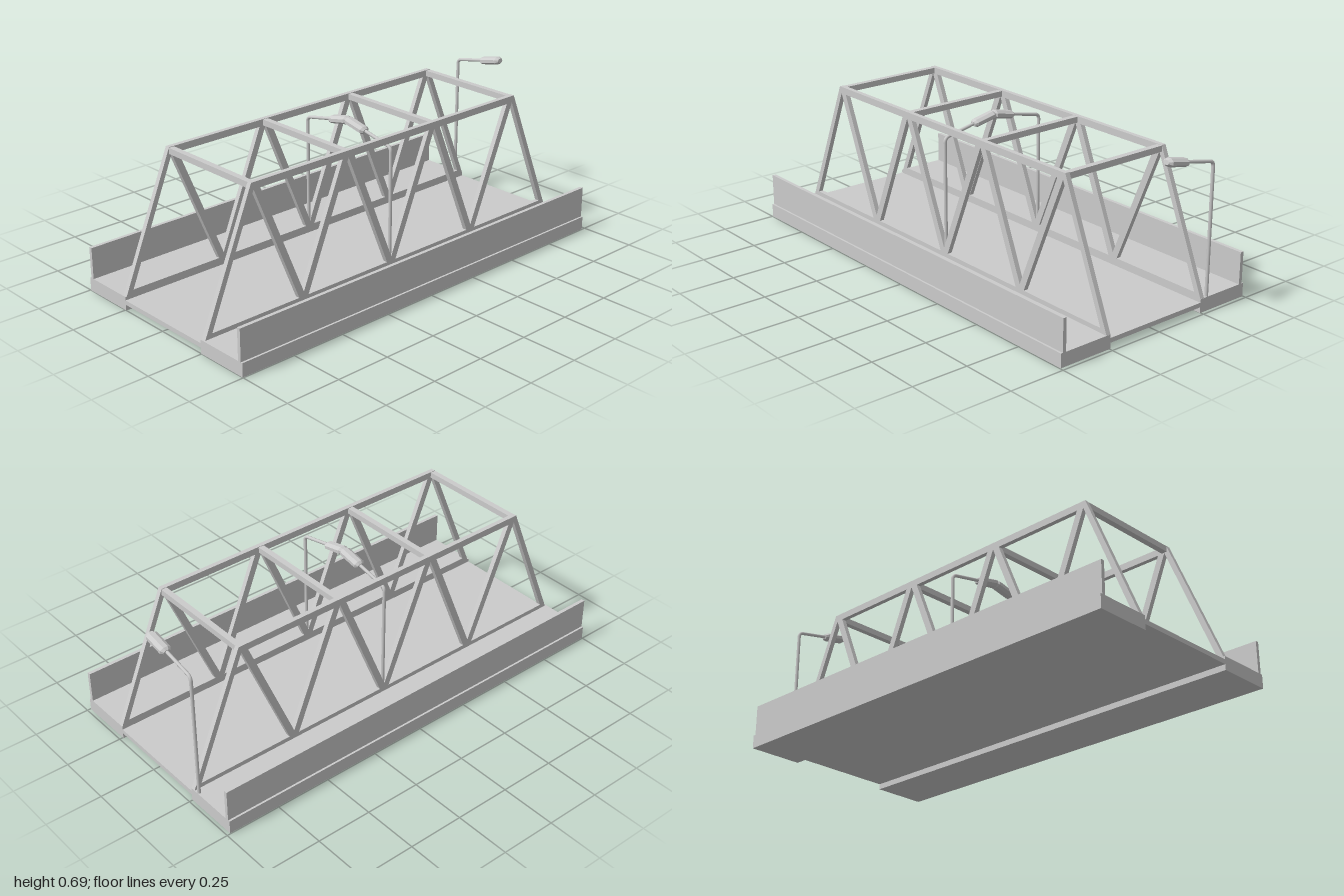
import * as THREE from 'three';

const MAT = new THREE.MeshStandardMaterial({ color: 0xcccccc, flatShading: true });
const SMOOTH = new THREE.MeshStandardMaterial({ color: 0xcccccc });
const ZC = 0.008;   // centre of the deck along z
const TZ = 0.005;   // centre of the trusses along z
const LENGTH = 1.984;
const BAY = 0.489;  // spacing of the truss nodes

function add(parent, name, geometry, x = 0, y = 0, z = 0, material = MAT) {
  const mesh = new THREE.Mesh(geometry, material);
  mesh.name = name;
  mesh.position.set(x, y, z);
  parent.add(mesh);
  return mesh;
}

// box given by its x and y limits, centred on z
function slab(parent, name, x0, x1, y0, y1, depth, z) {
  return add(parent, name, new THREE.BoxGeometry(x1 - x0, y1 - y0, depth), (x0 + x1) / 2, (y0 + y1) / 2, z);
}

const polygon = (points) => points.map(([x, y]) => new THREE.Vector2(x, y));

// trapezoid side frame with triangular openings between chords and diagonals
function trussGeometry() {
  const shape = new THREE.Shape(polygon([[-0.988, 0.06], [0.988, 0.06], [0.745, 0.64], [-0.745, 0.64]]));
  for (let i = 0; i < 4; i++) {
    const c = (i - 1.5) * BAY;
    shape.holes.push(new THREE.Path(polygon([[c - 0.22, 0.08], [c, 0.61], [c + 0.22, 0.08]])));
  }
  for (let i = -1; i <= 1; i++) {
    const c = i * BAY;
    shape.holes.push(new THREE.Path(polygon([[c, 0.1], [c - 0.212, 0.61], [c + 0.212, 0.61]])));
  }
  const g = new THREE.ExtrudeGeometry(shape, { depth: 0.021, bevelEnabled: false });
  g.translate(0, 0, -0.0105);
  g.rotateY(-Math.PI / 2);
  return g;
}

// street lamp: foot at the origin, arm reaching towards +x
function streetLamp(name) {
  const lamp = new THREE.Group();
  lamp.name = name;
  const path = new THREE.CurvePath();
  const p = (x, y) => new THREE.Vector3(x, y, 0);
  path.add(new THREE.LineCurve3(p(0, 0), p(0, 0.548)));
  path.add(new THREE.QuadraticBezierCurve3(p(0, 0.548), p(0, 0.567), p(0.02, 0.571)));
  path.add(new THREE.LineCurve3(p(0.02, 0.571), p(0.16, 0.6)));
  add(lamp, 'lampPole', new THREE.TubeGeometry(path, 90, 0.0075, 8, false), 0, 0, 0, SMOOTH);

  // eight-sided lamp head with tapered ends
  const profile = polygon([[0, -0.058], [0.016, -0.058], [0.026, -0.046], [0.027, 0.044], [0.015, 0.058], [0, 0.058]]);
  const g = new THREE.LatheGeometry(profile, 8, Math.PI / 8);
  g.scale(0.68, 1, 1);
  const head = add(lamp, 'lampHead', g, 0.206, 0.609, 0);
  head.rotation.z = 0.205 - Math.PI / 2;
  return lamp;
}

export function createModel() {
  const model = new THREE.Group();
  model.name = 'trussBridge';

  // roadway
  slab(model, 'roadDeck', -0.25, 0.25, 0.025, 0.045, LENGTH, ZC);

  // sidewalk, parapet and truss on each side
  const truss = trussGeometry();
  for (const [side, s] of [['left', 1], ['right', -1]]) {
    const half = new THREE.Group();
    half.name = side + 'Side';
    add(half, side + 'Sidewalk', new THREE.BoxGeometry(0.251, 0.06, LENGTH), s * 0.3715, 0.03, ZC);
    add(half, side + 'Parapet', new THREE.BoxGeometry(0.016, 0.14, LENGTH), s * 0.48, 0.13, ZC);
    add(half, side + 'Truss', truss, s * 0.2565, 0, TZ);
    model.add(half);
  }

  // overhead cross beams
  for (let i = 0; i < 4; i++) {
    slab(model, 'crossBeam' + (i + 1), -0.25, 0.25, 0.612, 0.638, 0.026, TZ + (i - 1.5) * BAY);
  }

  // lamp at the rear corner and a facing pair at midspan
  const rear = streetLamp('rearLamp');
  rear.position.set(-0.287, 0.06, -0.976);
  const midRight = streetLamp('midRightLamp');
  midRight.position.set(-0.256, 0.018, 0.004);
  const midLeft = streetLamp('midLeftLamp');
  midLeft.position.set(0.256, 0.018, 0.004);
  midLeft.rotation.y = Math.PI;
  model.add(rear, midRight, midLeft);

  return model;
}
